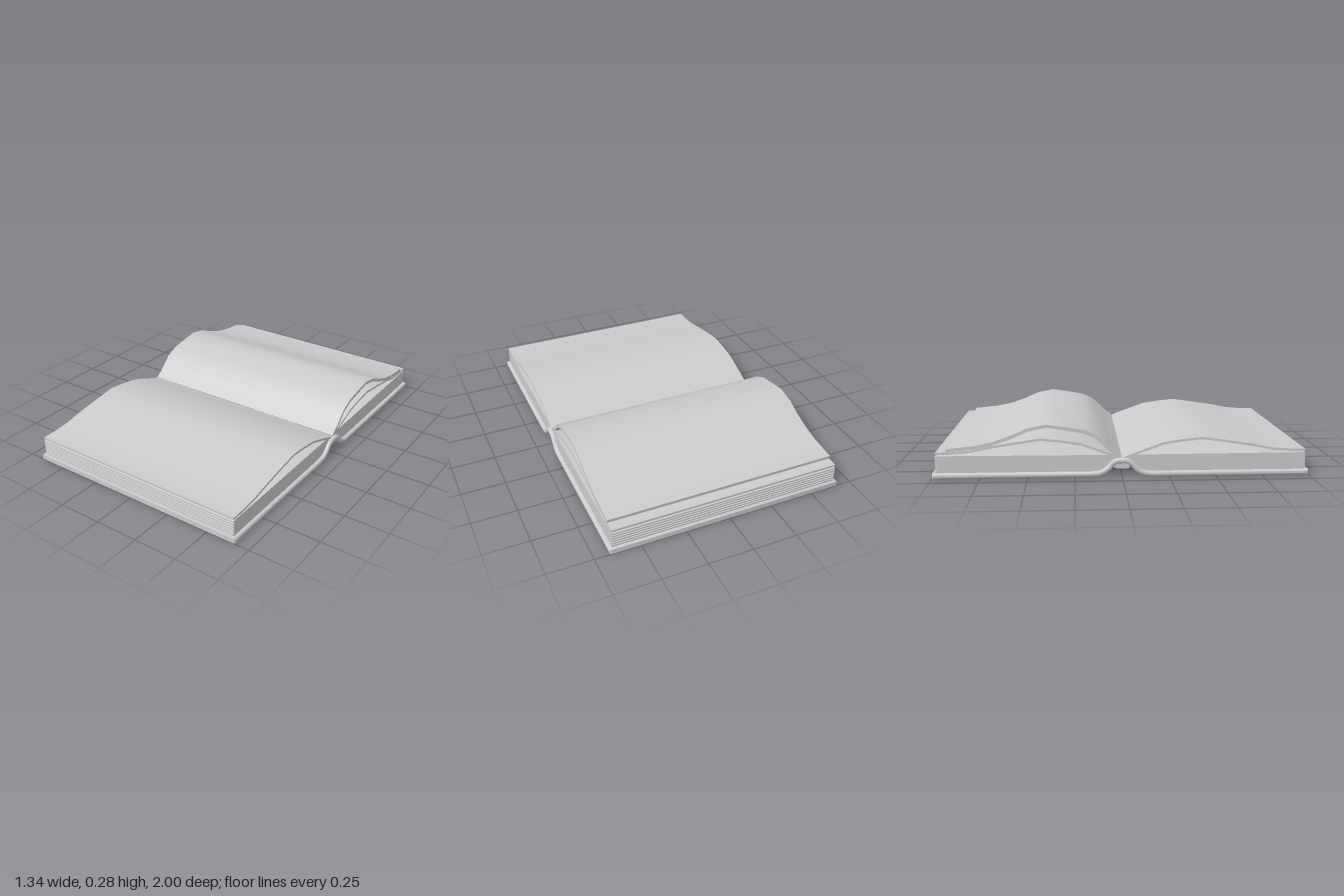
import * as THREE from 'three';
import { toCreasedNormals } from 'three/addons/utils/BufferGeometryUtils.js';

const material = new THREE.MeshStandardMaterial({ color: 0xcccccc, side: THREE.DoubleSide });

// Sweep a side profile of [z, y] points across the book's width (x).
function sweep(name, points, halfWidth, bevel = 0) {
  const shape = new THREE.Shape(points.map(([z, y]) => new THREE.Vector2(z, y)));
  const depth = 2 * (halfWidth - bevel);
  const geometry = new THREE.ExtrudeGeometry(shape, {
    depth, bevelEnabled: bevel > 0, bevelSize: bevel, bevelThickness: bevel,
    bevelOffset: -bevel, bevelSegments: 3,
  });
  geometry.translate(0, 0, -depth / 2);
  geometry.rotateY(-Math.PI / 2);
  const mesh = new THREE.Mesh(toCreasedNormals(geometry, 0.7), material);
  mesh.name = name;
  return mesh;
}

// Give a centre line thickness: one offset side out, the other side back.
function ribbon(line, thickness) {
  const side = (sign) => line.map(([z, y], i) => {
    const a = line[Math.max(i - 1, 0)], b = line[Math.min(i + 1, line.length - 1)];
    const dz = b[0] - a[0], dy = b[1] - a[1], k = sign * thickness / 2 / Math.hypot(dz, dy);
    return [z - dy * k, y + dz * k];
  });
  return [...side(-1), ...side(1).reverse()];
}

const flip = (points) => points.map(([z, y]) => [-z, y]);

export function createModel() {
  const book = new THREE.Group();
  book.name = 'openBook';

  // Cover: two flat boards joined by a raised arch at the spine
  const half = [[1, 0.015], [0.16, 0.015], [0.125, 0.018], [0.095, 0.029], [0.07, 0.048],
    [0.053, 0.07], [0.036, 0.083], [0.018, 0.087]];
  const coverLine = [...flip(half), ...half.slice().reverse()];
  book.add(sweep('cover', ribbon(coverLine, 0.028), 0.67, 0.011));

  // Binding strip beneath the arch
  book.add(sweep('spineLining',
    [[-0.042, 0.05], [-0.03, 0.043], [0.03, 0.043], [0.042, 0.05], [0.03, 0.077], [-0.03, 0.077]], 0.65));

  // Page blocks with a ridged fore-edge
  const block = [[0.14, 0.029], [0.975, 0.029]];
  const layers = 6, step = (0.12 - 0.029) / layers;
  for (let i = 0; i < layers; i++) {
    const y = 0.029 + i * step;
    block.push([0.984, y + step * 0.15], [0.984, y + step * 0.8], [0.972, y + step]);
  }
  block.push([0.07, 0.117], [0.012, 0.099], [0.045, 0.09], [0.07, 0.065], [0.1, 0.04]);
  book.add(sweep('frontPageBlock', block, 0.65));
  book.add(sweep('backPageBlock', flip(block), 0.65));

  // Loose leaves bowing up from the spine
  const lowLeaf = [[0.008, 0.098], [0.1, 0.133], [0.22, 0.176], [0.32, 0.192], [0.43, 0.203],
    [0.55, 0.186], [0.7, 0.163], [0.8, 0.142], [0.9, 0.134], [0.982, 0.132]];
  const highLeaf = [[-0.008, 0.1], [-0.07, 0.15], [-0.13, 0.21], [-0.2, 0.243], [-0.3, 0.26],
    [-0.4, 0.275], [-0.5, 0.255], [-0.59, 0.215], [-0.68, 0.184], [-0.78, 0.163], [-0.925, 0.149]];
  book.add(sweep('frontLeaf', ribbon(lowLeaf, 0.013), 0.65));
  book.add(sweep('backLowerLeaf', ribbon(flip(lowLeaf), 0.013), 0.65));
  book.add(sweep('backUpperLeaf', ribbon(highLeaf, 0.018), 0.65));

  return book;
}
